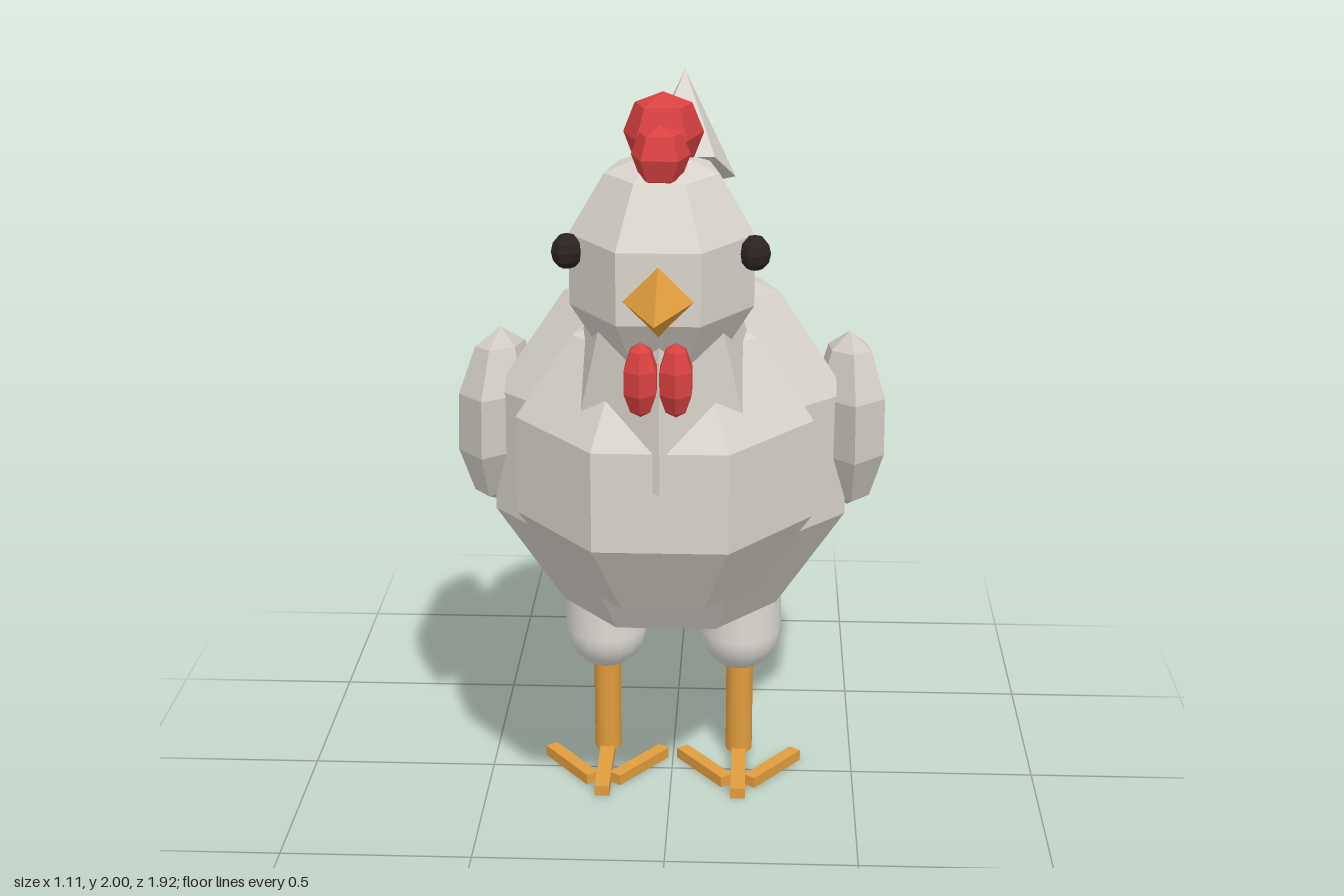
import * as THREE from 'three';

const paint = (name, color) => {
  const m = new THREE.MeshStandardMaterial({ color });
  m.name = name;
  return m;
};

// Faceted look: every face gets its own normal
function facet(geo) {
  const g = geo.toNonIndexed();
  g.computeVertexNormals();
  return g;
}

// Low-poly ellipsoid with one column of vertices pointing to the back
function ball(rx, ry, rz, sides, rows) {
  return facet(new THREE.SphereGeometry(1, sides, rows).rotateY(-Math.PI / 2).scale(rx, ry, rz));
}

// Low-poly cone or frustum; a corner points to the front, or to the back when turned
function cone(top, bottom, height, sides, turn = 0) {
  return facet(new THREE.CylinderGeometry(top, bottom, height, sides).rotateY(turn));
}

export function createModel() {
  const model = new THREE.Group();
  const feather = paint('feather', 0xd9d4cb);
  const down = paint('down', 0xdedbd4);
  const red = paint('combRed', 0xd94141);
  const orange = paint('beakOrange', 0xe09c3c);
  const black = paint('eyeBlack', 0x2c2322);

  function add(name, geo, mat, x, y, z, rx = 0, ry = 0, parent = model) {
    const mesh = new THREE.Mesh(geo, mat);
    mesh.name = name;
    mesh.position.set(x, y, z);
    mesh.rotation.set(rx, ry, 0);
    parent.add(mesh);
    return mesh;
  }

  // Body, chest and head
  add('body', ball(0.49, 0.51, 0.73, 7, 5), feather, 0, 0.96, -0.045, -0.17);
  add('chest', ball(0.389, 0.4, 0.389, 7, 5), feather, 0, 1.075, 0.377);
  add('head', ball(0.23, 0.272, 0.272, 7, 5), feather, 0, 1.605, 0.528);

  // Neck: straight in front, sloping out to the back
  const neck = new THREE.CylinderGeometry(0.22, 0.36, 0.4, 7).scale(0.8, 1, 1);
  const p = neck.attributes.position;
  for (let i = 0; i < p.count; i++) p.setZ(i, p.getZ(i) + p.getY(i) * 0.35);
  add('neck', facet(neck), feather, 0, 1.3, 0.43);

  // Tail: tapering stem with a pointed tip
  const lean = -0.53;
  add('tailStem', cone(0.05, 0.29, 0.6, 5, Math.PI), feather, 0, 1.28, -0.655, lean);
  add('tailTip', cone(0, 0.16, 0.31, 5, Math.PI), feather, 0, 1.657, -0.882, lean);

  // Comb
  [[0.635, 1.88, 0.071], [0.5, 1.902, 0.098], [0.362, 1.866, 0.071]].forEach(([z, y, r]) =>
    add('comb', ball(r, r, r, 5, 4), red, 0, y, z));

  // Beak: four-sided, pointing forward
  add('beak', cone(0, 0.092, 0.23, 4), orange, 0, 1.578, 0.845, Math.PI / 2);

  for (const s of [1, -1]) {
    const side = s > 0 ? 'left' : 'right';
    add(side + 'Eye', ball(0.037, 0.042, 0.039, 7, 6), black, s * 0.214, 1.656, 0.62);
    add(side + 'Wattle', ball(0.044, 0.088, 0.058, 6, 5), red, s * 0.04, 1.397, 0.765);
    add(side + 'Wing', ball(0.103, 0.235, 0.432, 6, 5), feather, s * 0.47, 1.003, -0.13, -0.22);

    // Leg: smooth thigh, shank and toes
    const leg = new THREE.Group();
    leg.name = side + 'Leg';
    leg.position.set(s * 0.185, 0, -0.1);
    model.add(leg);
    const thigh = new THREE.CapsuleGeometry(0.12, 0.18, 8, 16).scale(0.94, 1, 1.07);
    add('thigh', thigh, down, 0, 0.49, 0, 0, 0, leg);
    add('shank', new THREE.CylinderGeometry(0.037, 0.037, 0.3, 12), orange, 0, 0.17, 0, 0, 0, leg);
    add('middleToe', new THREE.BoxGeometry(0.04, 0.03, 0.415), orange, 0, 0.017, 0.057, 0, 0, leg);
    for (const t of [1, -1]) {
      add('sideToe', new THREE.BoxGeometry(0.036, 0.03, 0.21), orange,
        t * 0.095, 0.017, 0.11, 0, -t * 0.65, leg);
    }
  }
  return model;
}
